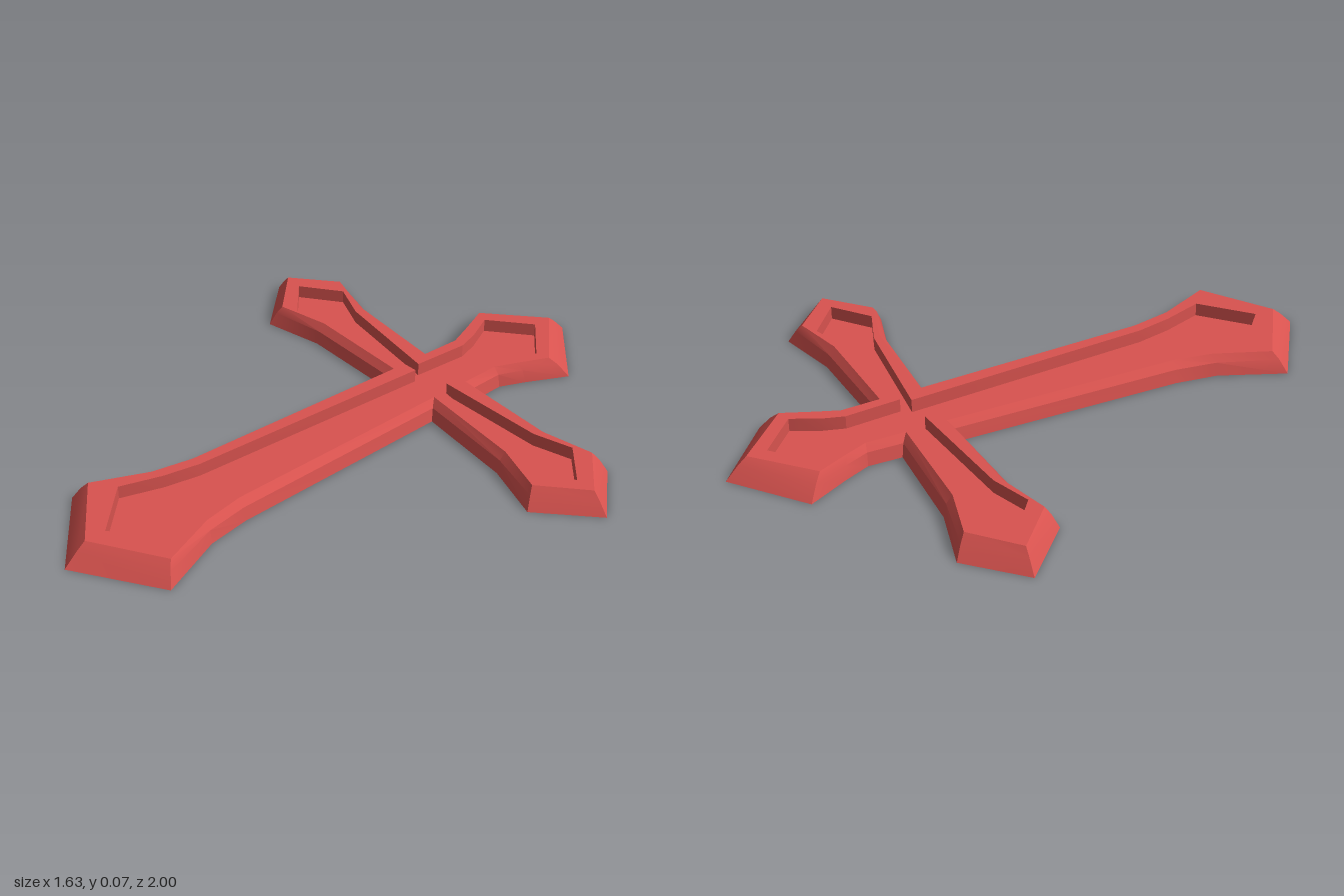
import * as THREE from 'three';
import { toCreasedNormals } from 'three/addons/utils/BufferGeometryUtils.js';

// Half outline from head tip to foot tip:
// [base x, z,  rim x, z,  recess x, z,  how far the side has leaned in at the bevel line]
const HALF = [
  [0, -1, 0, -0.93, 0, -0.865, 0.6],
  [0.22, -0.815, 0.17, -0.765, 0.127, -0.75, 0.55],
  [0.155, -0.68, 0.125, -0.66, 0.082, -0.66, 0.35],
  [0.12, -0.595, 0.097, -0.59, 0.06, -0.59, 0.3],
  [0.125, -0.485, 0.1, -0.46, 0.07, -0.405, 0.3],
  [0.45, -0.5, 0.45, -0.47, 0.44, -0.44, 0.3],
  [0.655, -0.555, 0.62, -0.515, 0.565, -0.485, 0.55],
  [0.813, -0.393, 0.755, -0.39, 0.687, -0.385, 0.6],
  [0.645, -0.225, 0.62, -0.262, 0.57, -0.288, 0.55],
  [0.45, -0.28, 0.45, -0.31, 0.44, -0.335, 0.3],
  [0.125, -0.297, 0.1, -0.325, 0.05, -0.375, 0.3],
  [0.15, 0.46, 0.12, 0.46, 0.085, 0.46, 0.3],
  [0.172, 0.6, 0.145, 0.595, 0.107, 0.58, 0.3],
  [0.265, 0.81, 0.22, 0.775, 0.148, 0.715, 0.55],
  [0, 1, 0, 0.925, 0, 0.855, 0.6],
];
const BEVEL_Y = 0.045, RIM_Y = 0.07, FLOOR_Y = 0.025;

// Full closed ring at height y, mirrored across x
function ring(y, pick) {
  const right = HALF.map((r) => {
    const [x, z] = pick(r);
    return new THREE.Vector3(x, y, z);
  });
  const left = right.slice(1, -1).reverse().map((p) => new THREE.Vector3(-p.x, y, p.z));
  return [...right, ...left];
}

function toGeometry(points) {
  const g = new THREE.BufferGeometry().setFromPoints(points);
  return toCreasedNormals(g, 0.35);
}

// Band of faces joining consecutive rings
function loft(rings) {
  const pts = [];
  for (let k = 0; k < rings.length - 1; k++) {
    const a = rings[k], b = rings[k + 1];
    for (let i = 0; i < a.length; i++) {
      const j = (i + 1) % a.length;
      pts.push(a[i], b[i], b[j], a[i], b[j], a[j]);
    }
  }
  return toGeometry(pts);
}

// Flat face filling a ring, turned up or down
function cap(points, up) {
  const flat = points.map((p) => new THREE.Vector2(p.x, p.z));
  const pts = [];
  for (const [i, j, k] of THREE.ShapeUtils.triangulateShape(flat, [])) {
    const area = THREE.ShapeUtils.area([flat[i], flat[j], flat[k]]);
    const facesUp = area < 0;
    pts.push(points[i], ...(facesUp === up ? [points[j], points[k]] : [points[k], points[j]]));
  }
  return toGeometry(pts);
}

export function createModel() {
  const red = new THREE.MeshStandardMaterial({ color: 0xd9534f });
  red.name = 'red';
  const cross = new THREE.Group();
  cross.name = 'cross';
  const add = (name, geometry) => {
    const mesh = new THREE.Mesh(geometry, red);
    mesh.name = name;
    cross.add(mesh);
  };

  const base = ring(0, (r) => [r[0], r[1]]);
  const bevel = ring(BEVEL_Y, (r) => [
    THREE.MathUtils.lerp(r[0], r[2], r[6]),
    THREE.MathUtils.lerp(r[1], r[3], r[6]),
  ]);
  const rim = ring(RIM_Y, (r) => [r[2], r[3]]);
  const lip = ring(RIM_Y, (r) => [r[4], r[5]]);
  const floor = ring(FLOOR_Y, (r) => [r[4], r[5]]);

  add('bevelledSides', loft([base, bevel, rim]));
  add('raisedRim', loft([rim, lip]));
  add('recessWalls', loft([lip, floor]));
  add('recessFloor', cap(floor, true));
  add('underside', cap(base, false));
  return cross;
}
